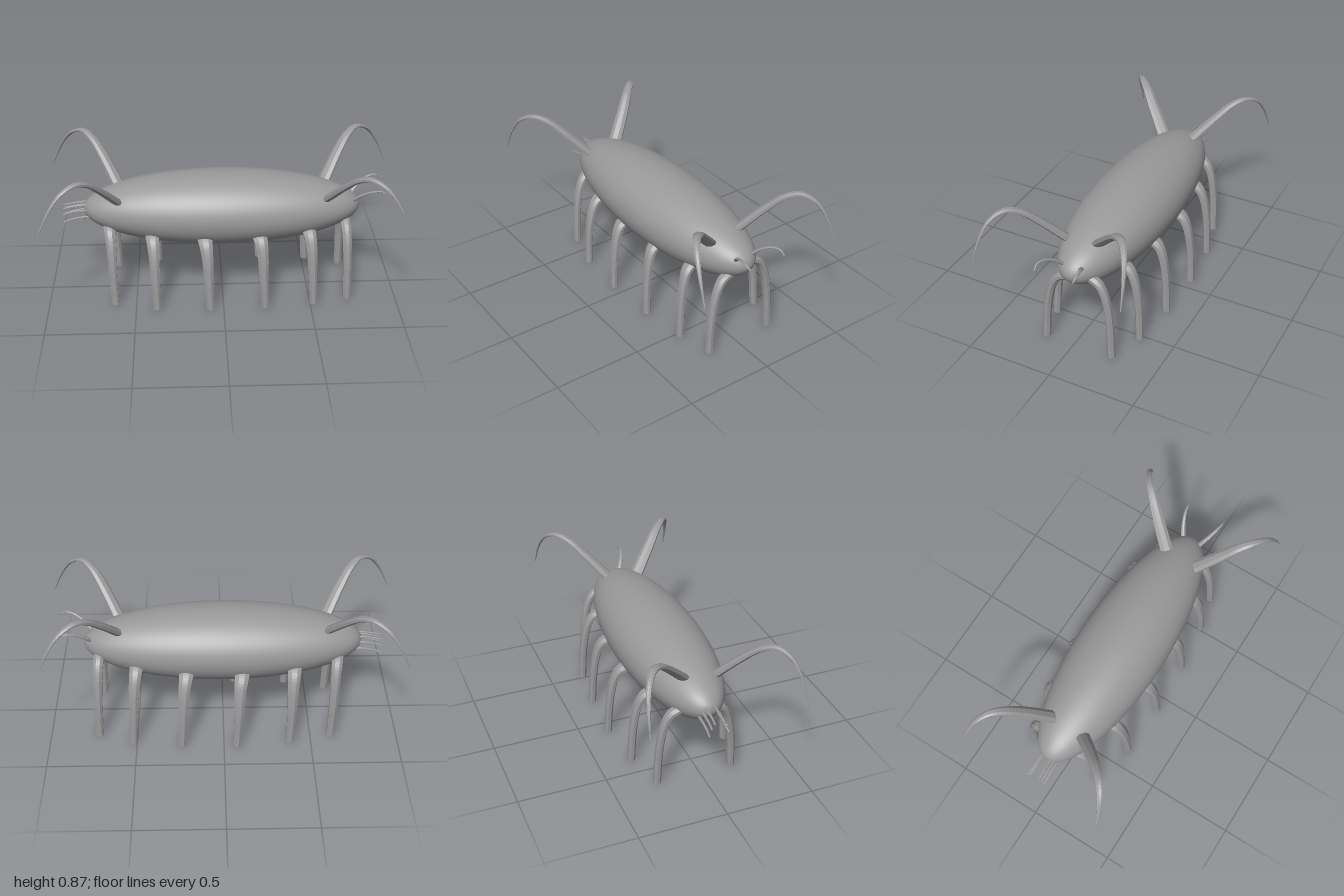
import * as THREE from 'three';

const grey = new THREE.MeshStandardMaterial({ color: 0x999999 });
grey.name = 'grey';

const BODY = { y: 0.52, z: -0.018, rx: 0.79, ry: 0.21, rz: 0.252 };

// Tapered limb: an elliptical section swept along a curve.
// size(t) returns [half width along side, half thickness]
function sweep(name, points, side, size, sides = 8, steps = 20, flat = true) {
  const curve = new THREE.CatmullRomCurve3(points.map(p => new THREE.Vector3(...p)));
  const pos = [], index = [];
  for (let i = 0; i <= steps; i++) {
    const t = i / steps;
    const c = curve.getPoint(t), tangent = curve.getTangent(t);
    const s = side.clone().addScaledVector(tangent, -side.dot(tangent)).normalize();
    const n = tangent.cross(s).normalize();
    const [w, h] = size(t);
    for (let j = 0; j < sides; j++) {
      const a = (j + 0.5) / sides * Math.PI * 2;
      const p = c.clone().addScaledVector(s, w * Math.cos(a)).addScaledVector(n, h * Math.sin(a));
      pos.push(p.x, Math.max(0, p.y), p.z);
    }
  }
  for (let i = 0; i < steps; i++) {
    for (let j = 0; j < sides; j++) {
      const k = (j + 1) % sides, a = i * sides, b = a + sides;
      index.push(a + j, a + k, b + j, a + k, b + k, b + j);
    }
  }
  // End caps
  const last = steps * sides;
  for (let j = 1; j < sides - 1; j++) {
    index.push(0, j + 1, j, last, last + j, last + j + 1);
  }
  let geo = new THREE.BufferGeometry();
  geo.setAttribute('position', new THREE.Float32BufferAttribute(pos, 3));
  geo.setIndex(index);
  if (flat) geo = geo.toNonIndexed();
  geo.computeVertexNormals();
  const mesh = new THREE.Mesh(geo, grey);
  mesh.name = name;
  return mesh;
}

// z of the body surface at x, y on the given side
function bodyZ(x, y, s) {
  const q = 1 - (x / BODY.rx) ** 2 - ((y - BODY.y) / BODY.ry) ** 2;
  return BODY.z + s * BODY.rz * Math.sqrt(Math.max(0, q));
}

export function createModel() {
  const model = new THREE.Group();
  model.name = 'creature';

  // Long egg-shaped body
  const bodyGeo = new THREE.SphereGeometry(1, 64, 40);
  bodyGeo.rotateZ(Math.PI / 2);
  bodyGeo.scale(BODY.rx, BODY.ry, BODY.rz);
  const body = new THREE.Mesh(bodyGeo, grey);
  body.name = 'body';
  body.position.set(0, BODY.y, BODY.z);
  model.add(body);

  // Six pairs of legs: root x, root y, foot x, foot z at front, foot z at back, root half width
  const legs = [
    [-0.645, 0.435, -0.62, 0.19, -0.25, 0.036],
    [-0.40, 0.41, -0.38, 0.255, -0.31, 0.044],
    [-0.105, 0.40, -0.075, 0.27, -0.34, 0.047],
    [0.205, 0.405, 0.24, 0.255, -0.33, 0.046],
    [0.485, 0.42, 0.52, 0.225, -0.30, 0.042],
    [0.70, 0.445, 0.72, 0.175, -0.23, 0.032],
  ];
  const bend = [[-0.2, 0.015], [0.3, -0.015], [0.62, -0.08], [0.87, -0.22]];
  const xAxis = new THREE.Vector3(1, 0, 0);
  for (const [x, y0, fx, front, back, w] of legs) {
    for (const s of [1, -1]) {
      const y = s > 0 ? y0 : y0 + 0.03;
      const z = bodyZ(x, y, s), fz = s > 0 ? front : back;
      const pts = bend.map(([u, dy]) => [x + (fx - x) * Math.max(0, u) * 0.8, y + dy, z + (fz - z) * u]);
      pts.push([fx, 0, fz]);
      model.add(sweep(s > 0 ? 'frontLeg' : 'backLeg', pts, xAxis,
        t => [w + (0.024 - w) * Math.min(1, t * 1.1), 0.024 - 0.002 * t]));
    }
  }

  // Four long arching horns
  const horn = [[0.59, 0.605, 0.09], [0.68, 0.74, 0.21], [0.74, 0.81, 0.28], [0.80, 0.835, 0.34],
    [0.875, 0.80, 0.39], [0.945, 0.70, 0.42], [0.998, 0.58, 0.432]];
  for (const sx of [1, -1]) {
    for (const sz of [1, -1]) {
      const pts = horn.map(([x, y, z]) => [sx * x, y + (sz < 0 ? 0.025 : 0), sz * z]);
      model.add(sweep('horn', pts, new THREE.Vector3(0.68 * sz, 0, -0.73 * sx),
        t => [0.003 + 0.037 * (1 - t), 0.002 + 0.021 * (1 - t)], 8, 32));
    }
  }

  // Two small antennae on the head
  for (const s of [1, -1]) {
    const pts = [[0.735, 0.55, 0.045], [0.79, 0.605, 0.08], [0.85, 0.638, 0.105],
      [0.90, 0.643, 0.115], [0.935, 0.625, 0.112]].map(([x, y, z]) => [x, y, BODY.z + s * z]);
    model.add(sweep('antenna', pts, new THREE.Vector3(0.5 * s, 0, -1),
      t => [0.003 + 0.012 * (1 - t), 0.002 + 0.008 * (1 - t)], 8, 16));
  }

  // Two tufts of tail bristles
  for (const s of [1, -1]) {
    [[0.545, 0.525, 0.024], [0.52, 0.497, 0.04], [0.485, 0.455, 0.052]].forEach(([y0, y1, z]) => {
      const cz = BODY.z + s * z;
      const pts = [[-0.75, y0, cz], [-0.80, y0 - 0.002, cz],
        [-0.86, (y0 + y1) / 2, cz], [-0.905, y1, cz + s * 0.003]];
      model.add(sweep('tailBristle', pts, new THREE.Vector3(0, 0, 1),
        t => [0.008 - 0.003 * t, 0.008 - 0.003 * t], 6, 8));
    });
  }

  return model;
}
